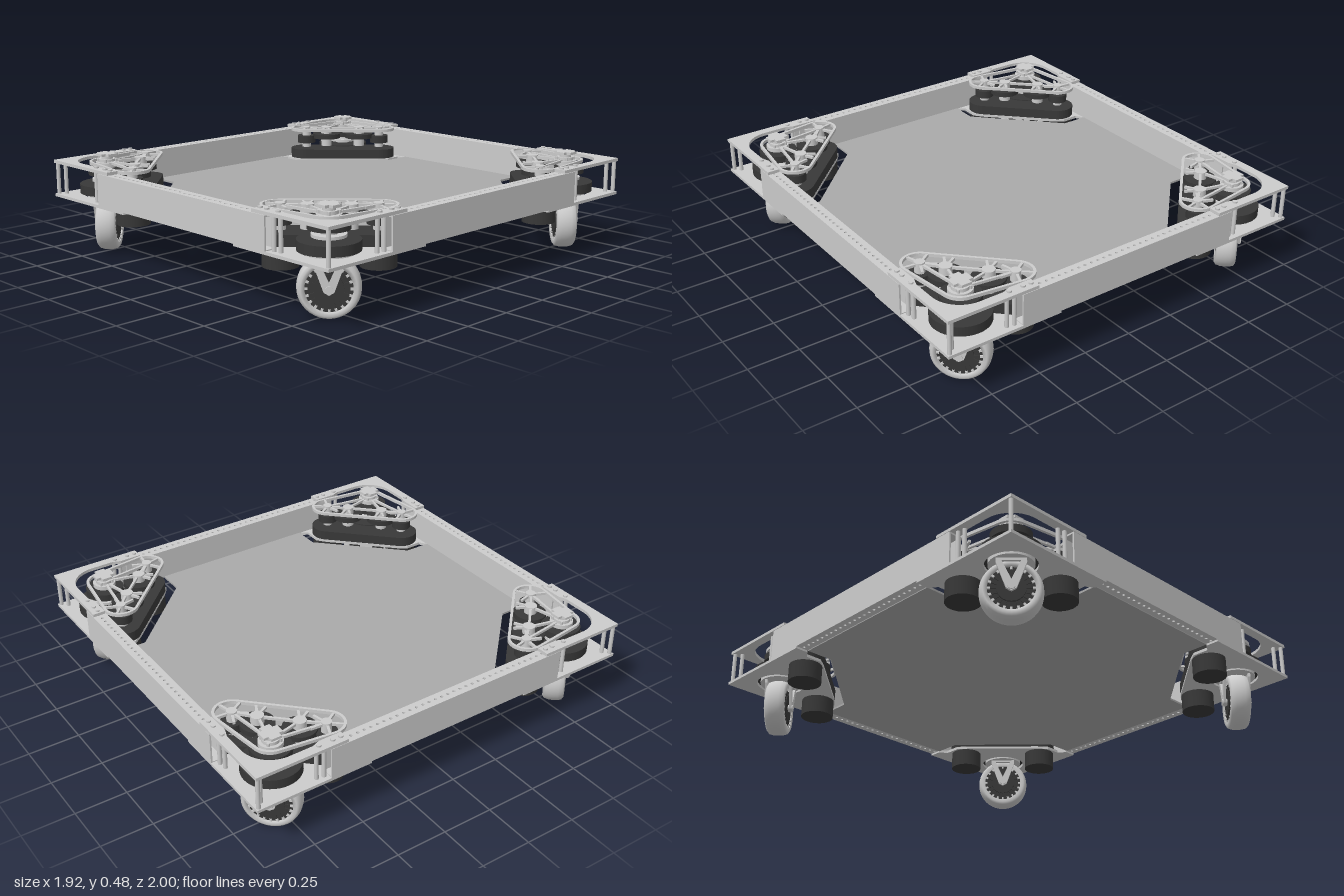
import * as THREE from 'three';

const grey = new THREE.MeshStandardMaterial({ color: 0xcccccc });
const floorGrey = new THREE.MeshStandardMaterial({ color: 0xaaaaaa });
const dark = new THREE.MeshStandardMaterial({ color: 0x383838 });

const HX = 0.96, HZ = 1.0;           // half sizes of the frame
const WHEEL = [-0.185, -0.185];      // corner-local x, z, measured from the outer corner
const MOTORS = [[-0.44, -0.15], [-0.15, -0.44]];
const GEARS = [[-0.355, -0.225], [-0.225, -0.355]];
const swap = ([x, z]) => [z, x];

function add(parent, name, geo, mat = grey, x = 0, y = 0, z = 0) {
  const m = new THREE.Mesh(geo, mat);
  m.name = name;
  m.position.set(x, y, z);
  parent.add(m);
  return m;
}
const box = (p, name, w, h, d, x, y, z, mat) => add(p, name, new THREE.BoxGeometry(w, h, d), mat, x, y, z);

// Upright cylinder between two heights
function disc(p, name, [x, z], r, y0, y1, mat, seg = 28) {
  return add(p, name, new THREE.CylinderGeometry(r, r, y1 - y0, seg), mat, x, (y0 + y1) / 2, z);
}

// Flat plate from an (x, z) shape between two heights
function plate(p, name, shape, y0, y1, mat) {
  const geo = new THREE.ExtrudeGeometry(shape, { depth: y1 - y0, bevelEnabled: false, curveSegments: 12 });
  return add(p, name, geo.rotateX(Math.PI / 2), mat, 0, y1, 0);
}

const polygon = pts => new THREE.Shape(pts.map(([x, z]) => new THREE.Vector2(x, z)));

function circleHole(shape, x, z, r) {
  shape.holes.push(new THREE.Path().absarc(x, z, r, 0, Math.PI * 2, true));
}

// Rounded outline round counter-clockwise centres
function rounded(pts, r, path = new THREE.Shape()) {
  const n = pts.length;
  const normal = (a, b) => Math.atan2(b[1] - a[1], b[0] - a[0]) - Math.PI / 2;
  pts.forEach((c, i) => path.absarc(c[0], c[1], r,
    normal(pts[(i + n - 1) % n], c), normal(c, pts[(i + 1) % n]), false));
  return path;
}

// Thin bar joining two points of the upper frame
function bar(p, a, b, w, y, h) {
  const dx = b[0] - a[0], dz = b[1] - a[1];
  const m = box(p, 'frameSpoke', Math.hypot(dx, dz), h, w, (a[0] + b[0]) / 2, y, (a[1] + b[1]) / 2);
  m.rotation.y = -Math.atan2(dz, dx);
}

// Hollow rail along x with rows of holes in its top and bottom
function makeRail(length, width) {
  const g = new THREE.Group();
  g.name = 'frameRail';
  const h = length / 2, w = width / 2;
  const strip = polygon([[-h, -w], [h, -w], [h, w], [-h, w]]);
  const count = Math.floor((length - 0.14) / 0.0345);
  for (let i = 0; i <= count; i++) circleHole(strip, (i - count / 2) * 0.0345, 0, 0.007);
  for (const [y0, y1] of [[0.275, 0.283], [0.422, 0.43]]) plate(g, 'railStrip', strip, y0, y1);
  for (const s of [-1, 1]) box(g, 'railWall', length, 0.15, 0.008, 0, 0.3525, s * (w - 0.004));
  return g;
}

// Wheel with axle along z, and its fork
function makeCaster() {
  const g = new THREE.Group();
  g.name = 'wheelAndFork';
  const profile = [[0.1, -0.047], [0.117, -0.05], [0.128, -0.042], [0.134, -0.022], [0.135, 0],
    [0.134, 0.022], [0.128, 0.042], [0.117, 0.05], [0.1, 0.047], [0.1, -0.047]]
    .map(([r, y]) => new THREE.Vector2(r, y));
  add(g, 'tyre', new THREE.LatheGeometry(profile, 40).rotateX(Math.PI / 2), grey, 0, 0.135, 0);
  const round = (name, r, w, mat) => add(g, name,
    new THREE.CylinderGeometry(r, r, w, 32).rotateX(Math.PI / 2), mat, 0, 0.135, 0);
  round('wheelHub', 0.102, 0.078, dark);
  round('hubBoss', 0.062, 0.094, dark);
  round('axle', 0.017, 0.142, grey);
  for (let i = 0; i < 20; i++) {
    const a = i * Math.PI / 10;
    const t = box(g, 'rimLug', 0.018, 0.01, 0.092, Math.cos(a) * 0.096, 0.135 + Math.sin(a) * 0.096, 0);
    t.rotation.z = a;
    const s = box(g, 'hubRib', 0.04, 0.006, 0.086, Math.cos(a) * 0.07, 0.135 + Math.sin(a) * 0.07, 0, dark);
    s.rotation.z = a;
  }
  // V-shaped fork arms either side of the wheel
  const arm = polygon([[-0.065, 0.275], [-0.065, 0.245], [-0.022, 0.125], [0, 0.112],
    [0.022, 0.125], [0.065, 0.245], [0.065, 0.275]]);
  arm.holes.push(polygon([[-0.04, 0.252], [0.04, 0.252], [0, 0.165]]));
  for (const s of [-1, 1]) add(g, 'forkArm',
    new THREE.ExtrudeGeometry(arm, { depth: 0.012, bevelEnabled: false }), grey, 0, 0, s * 0.06 - 0.006);
  return g;
}

// One steered drive module; the frame's outer corner is its origin
function makeCorner() {
  const g = new THREE.Group();
  g.name = 'driveModule';

  // Lower plate, open round the steering ring
  const half = [[-0.57, 0], [-0.57, -0.065], [-0.53, -0.09], [-0.53, -0.17], [-0.495, -0.215]];
  const lower = polygon([[0, 0], ...half, ...half.map(swap).reverse()]);
  circleHole(lower, ...WHEEL, 0.115);
  plate(g, 'lowerPlate', lower, 0.265, 0.279);

  // Upper corner plate with a rounded inner edge
  const upper = new THREE.Shape();
  upper.moveTo(0, 0);
  upper.lineTo(0, -0.45);
  upper.lineTo(-0.06, -0.45);
  upper.lineTo(-0.06, -0.34);
  upper.lineTo(-0.045, -0.3);
  upper.absarc(...WHEEL, 0.14, 0, Math.PI / 2, false);
  upper.lineTo(-0.3, -0.045);
  upper.lineTo(-0.34, -0.06);
  upper.lineTo(-0.45, -0.06);
  upper.lineTo(-0.45, 0);
  plate(g, 'upperCornerPlate', upper, 0.432, 0.447);

  // Upper module frame: rim, hubs and spokes
  const outline = [WHEEL, ...MOTORS];
  const rim = rounded(outline, 0.086);
  rim.holes.push(rounded(outline, 0.073, new THREE.Path()));
  plate(g, 'moduleFrame', rim, 0.43, 0.445);
  const spoke = (a, b) => bar(g, a, b, 0.012, 0.4375, 0.012);
  spoke(...GEARS);
  GEARS.forEach((gear, i) => {
    const motor = MOTORS[i];
    spoke(gear, motor);
    spoke(gear, WHEEL);
    spoke(motor, WHEEL);
    spoke(gear, [gear[0] - 0.035, gear[1] - 0.065]);
    spoke(gear, [gear[0] - 0.065, gear[1] - 0.035]);
    for (let k = 0; k < 5; k++) {
      const a = k * Math.PI * 0.4 + 0.4;
      spoke(motor, [motor[0] + Math.cos(a) * 0.075, motor[1] + Math.sin(a) * 0.075]);
    }
    disc(g, 'gearBearing', gear, 0.03, 0.34, 0.447);
    disc(g, 'driveGear', gear, 0.078, 0.385, 0.41, dark);
    disc(g, 'motorGear', motor, 0.05, 0.36, 0.4, dark);
    disc(g, 'motorBearing', motor, 0.024, 0.335, 0.45);
    disc(g, 'motor', motor, 0.08, 0.177, 0.3, dark);
  });
  plate(g, 'gearboxBase', rounded(MOTORS, 0.085), 0.28, 0.33, dark);

  // Steering ring, gear stack and top cap
  disc(g, 'steeringRing', WHEEL, 0.135, 0.29, 0.335, dark, 40);
  disc(g, 'forkCrown', WHEEL, 0.1, 0.264, 0.292);
  disc(g, 'steeringShaft', WHEEL, 0.04, 0.33, 0.455);
  disc(g, 'lowerSteeringDisc', WHEEL, 0.075, 0.345, 0.358);
  disc(g, 'steeringGear', WHEEL, 0.092, 0.378, 0.412, dark);
  disc(g, 'upperSteeringDisc', WHEEL, 0.055, 0.42, 0.44);
  disc(g, 'topCap', WHEEL, 0.028, 0.45, 0.472);
  box(g, 'topFlange', 0.095, 0.012, 0.05, WHEEL[0], 0.476, WHEEL[1]);
  box(g, 'topFlange', 0.05, 0.012, 0.095, WHEEL[0], 0.476, WHEEL[1]);
  for (const dx of [-1, 1]) for (const dz of [-1, 1])
    disc(g, 'capBolt', [WHEEL[0] + dx * 0.03, WHEEL[1] + dz * 0.03], 0.007, 0.435, 0.455, grey, 8);

  // Standoffs between the plates and bolts on top
  const side = [[-0.31, -0.035], [-0.345, -0.03]];
  for (const p of [[-0.014, -0.014], [-0.04, -0.04], ...side, ...side.map(swap)])
    disc(g, 'standoff', p, 0.01, 0.27, 0.44, grey, 10);
  for (const t of [0.32, 0.39, 0.43]) for (const p of [[-t, -0.032], [-0.032, -t]])
    disc(g, 'plateBolt', p, 0.011, 0.44, 0.455, grey, 8);

  // Wheel axle lies along the corner's diagonal
  const wheel = makeCaster();
  wheel.position.set(WHEEL[0], 0, WHEEL[1]);
  wheel.rotation.y = Math.PI / 4;
  g.add(wheel);
  return g;
}

export function createModel() {
  const model = new THREE.Group();
  model.name = 'driveChassis';

  // Floor panel with notched corners
  const q = [[0.895, 0.425], [0.76, 0.425], [0.39, 0.8], [0.39, 0.935]];
  const mirror = (sx, sz) => q.map(([x, z]) => [x * sx, z * sz]);
  plate(model, 'floorPanel', polygon([...mirror(1, 1), ...mirror(-1, 1).reverse(),
    ...mirror(-1, -1), ...mirror(1, -1).reverse()]), 0.271, 0.281, floorGrey);

  // Four rails
  for (const s of [-1, 1]) {
    const cross = makeRail(1.18, 0.066);
    cross.position.z = s * (HZ - 0.033);
    const long = makeRail(1.27, 0.066);
    long.rotation.y = Math.PI / 2;
    long.position.x = s * (HX - 0.033);
    model.add(cross, long);
  }

  // Four modules, turned a quarter at a time
  [[1, 1], [1, -1], [-1, -1], [-1, 1]].forEach(([sx, sz], i) => {
    const corner = makeCorner();
    corner.position.set(sx * HX, 0, sz * HZ);
    corner.rotation.y = i * Math.PI / 2;
    model.add(corner);
  });
  return model;
}
